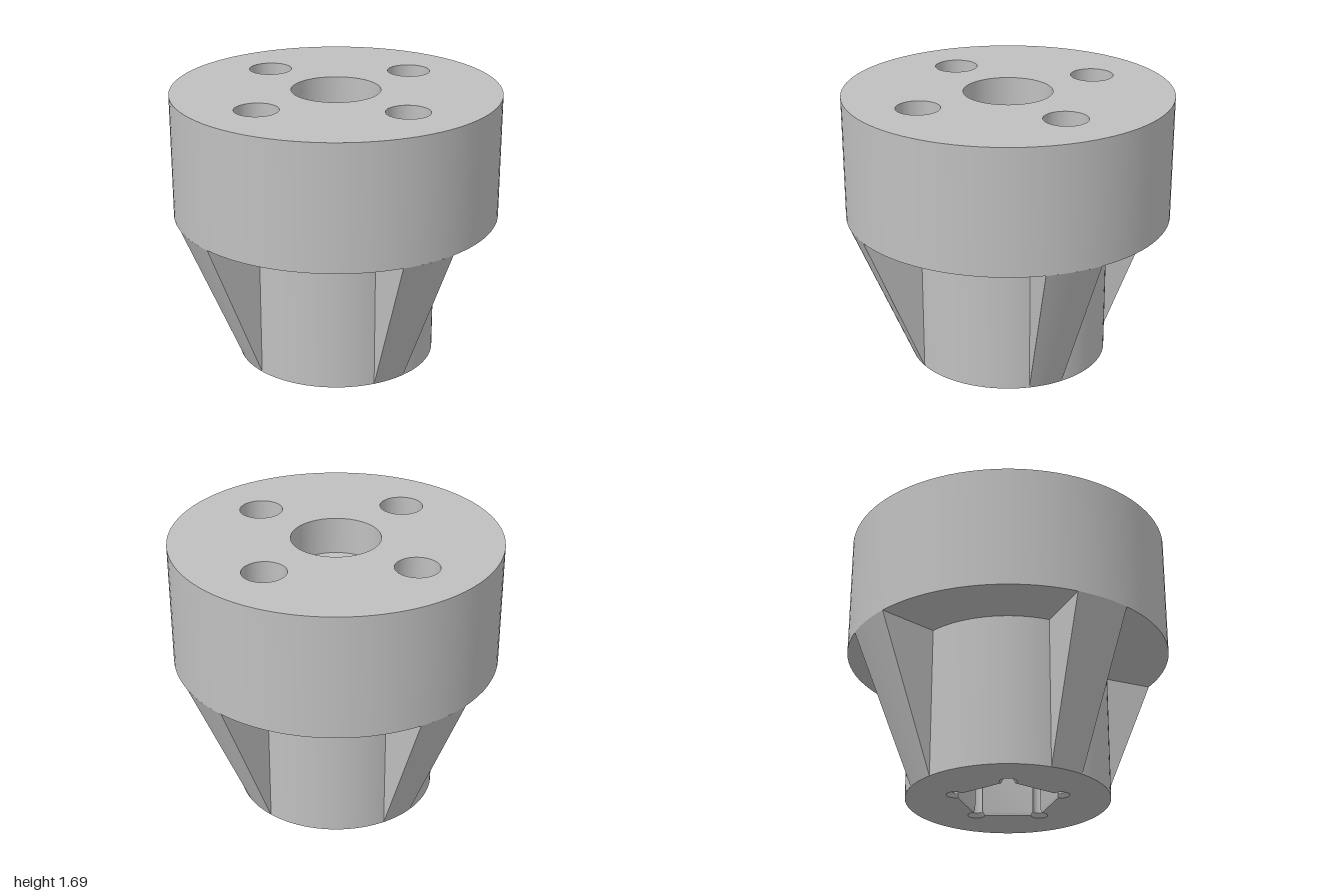
import * as THREE from 'three';
import { toCreasedNormals } from 'three/addons/utils/BufferGeometryUtils.js';

const TOP = 1.69, STEP = 0.925, R_HEAD = 1, R_STEM = 0.615;
const SOCKET_DEPTH = 0.8, SEG = 96, RIB_ANGLE = Math.PI / 9;

// Pentagon outline with a round relief at each corner, in (x, z)
function socketOutline(radius, relief) {
  const points = [];
  for (let i = 0; i < 5; i++) {
    const a = THREE.MathUtils.degToRad(-137 + 72 * i);
    for (let j = 0; j <= 14; j++) {
      const b = a + THREE.MathUtils.degToRad(-126 + 18 * j);
      points.push(new THREE.Vector2(
        radius * Math.cos(a) + relief * Math.cos(b),
        radius * Math.sin(a) + relief * Math.sin(b)));
    }
  }
  return points;
}

// Inward-facing wall joining stacked outlines
function socketWall(layers) {
  const pos = [], index = [], n = layers[0].points.length;
  for (const { points, y } of layers) for (const p of points) pos.push(p.x, y, p.y);
  for (let l = 0; l < layers.length - 1; l++) {
    for (let i = 0; i < n; i++) {
      const k = (i + 1) % n;
      const a = l * n + i, b = l * n + k, c = b + n, d = a + n;
      index.push(a, b, d, b, c, d);
    }
  }
  const g = new THREE.BufferGeometry();
  g.setAttribute('position', new THREE.Float32BufferAttribute(pos, 3));
  g.setIndex(index);
  return toCreasedNormals(g, 0.5);
}

export function createModel() {
  const model = new THREE.Group();
  const metal = new THREE.MeshStandardMaterial({ color: 0xc0c0c0 });
  metal.name = 'grey metal';

  const add = (name, geometry, parent = model) => {
    const mesh = new THREE.Mesh(geometry, metal);
    mesh.name = name;
    parent.add(mesh);
    return mesh;
  };
  const tube = (r, y0, y1) =>
    new THREE.CylinderGeometry(r, r, y1 - y0, SEG, 1, true).translate(0, (y0 + y1) / 2, 0);

  // Blind holes in the top face: one central, four around it
  const holes = [{ name: 'centreHole', x: 0, z: 0, r: 0.27, depth: 0.23 }];
  for (let i = 0; i < 4; i++) {
    const a = i * Math.PI / 2;
    holes.push({ name: 'pinHole', x: R_STEM * Math.cos(a), z: R_STEM * Math.sin(a), r: 0.132, depth: 0.4 });
  }

  // Head
  const topShape = new THREE.Shape().absarc(0, 0, R_HEAD, 0, Math.PI * 2);
  for (const h of holes) {
    topShape.holes.push(new THREE.Path().absarc(h.x, -h.z, h.r, 0, Math.PI * 2, true));
    const group = new THREE.Group();
    group.name = h.name;
    group.position.set(h.x, 0, h.z);
    const wall = tube(h.r, TOP - h.depth, TOP).scale(-1, 1, 1); // mirrored to face inward
    wall.computeVertexNormals();
    add('holeWall', wall, group);
    add('holeFloor', new THREE.CircleGeometry(h.r, SEG).rotateX(-Math.PI / 2)
      .translate(0, TOP - h.depth, 0), group);
    model.add(group);
  }
  add('headTop', new THREE.ShapeGeometry(topShape, SEG / 2).rotateX(-Math.PI / 2).translate(0, TOP, 0));
  add('headSide', tube(R_HEAD, STEP, TOP));
  add('headUnderside', new THREE.RingGeometry(R_STEM, R_HEAD, SEG).rotateX(Math.PI / 2).translate(0, STEP, 0));

  // Stem
  add('stem', tube(R_STEM, 0, STEP));

  // Four tapered ribs: a cone sector with two flat triangular sides
  for (let i = 0; i < 4; i++) {
    const rib = new THREE.Group();
    rib.name = 'rib';
    rib.rotation.y = i * Math.PI / 2;
    add('ribOuter', new THREE.CylinderGeometry(R_HEAD, R_STEM, STEP, 12, 1, true, -RIB_ANGLE, RIB_ANGLE)
      .translate(0, STEP / 2, 0), rib);
    for (const side of [0, 1]) {
      const corners = [[R_STEM, 0], [R_STEM, STEP], [R_HEAD, STEP]];
      if (side) corners.reverse();
      const a = side ? 0 : -RIB_ANGLE;
      const g = new THREE.BufferGeometry().setFromPoints(corners.map(([r, y]) =>
        new THREE.Vector3(r * Math.sin(a), y, r * Math.cos(a))));
      // Order the corners so the face points away from the rib
      g.setIndex([0, 2, 1]);
      g.computeVertexNormals();
      add('ribSide', g, rib);
    }
    model.add(rib);
  }

  // Five-sided socket in the stem, with a chamfered mouth
  const mouth = socketOutline(0.33, 0.052), inner = socketOutline(0.322, 0.034);
  const base = new THREE.Shape().absarc(0, 0, R_STEM, 0, Math.PI * 2);
  base.holes.push(new THREE.Path(mouth));
  add('stemBase', new THREE.ShapeGeometry(base, SEG / 2).rotateX(Math.PI / 2));
  add('socketWall', socketWall([
    { points: mouth, y: 0 }, { points: inner, y: 0.025 }, { points: inner, y: SOCKET_DEPTH }]));
  add('socketFloor', new THREE.ShapeGeometry(new THREE.Shape(inner)).rotateX(Math.PI / 2)
    .translate(0, SOCKET_DEPTH, 0));

  return model;
}
